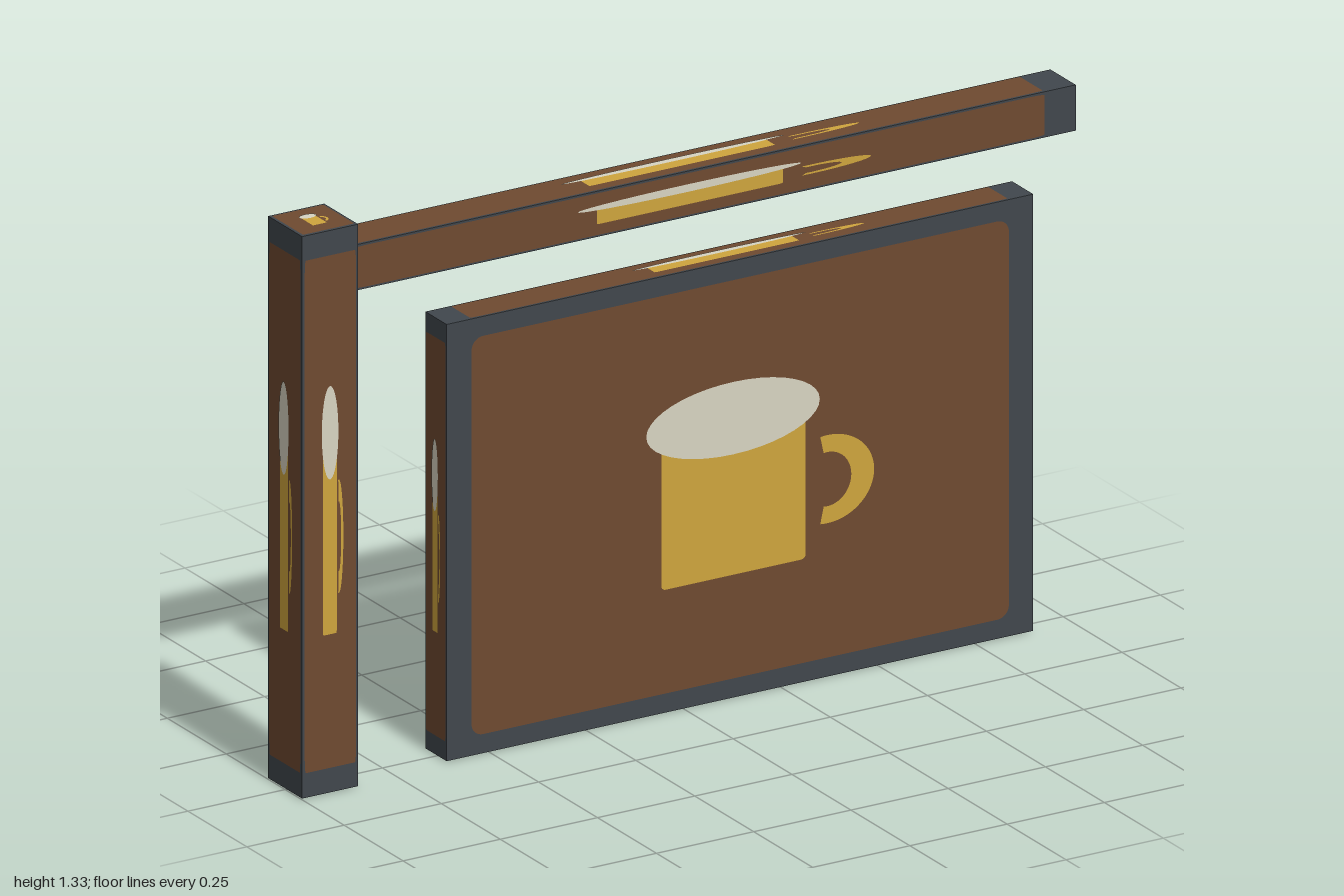
import * as THREE from 'three';

const mat = (name, color) => {
  const m = new THREE.MeshStandardMaterial({ color });
  m.name = name;
  return m;
};

// Rounded rectangle in face units (a face runs from -0.5 to 0.5 both ways)
function roundedRect(x0, y0, x1, y1, rx, ry) {
  const s = new THREE.Shape();
  s.absellipse(x1 - rx, y1 - ry, rx, ry, 0, Math.PI / 2);
  s.absellipse(x0 + rx, y1 - ry, rx, ry, Math.PI / 2, Math.PI);
  s.absellipse(x0 + rx, y0 + ry, rx, ry, Math.PI, Math.PI * 1.5);
  s.absellipse(x1 - rx, y0 + ry, rx, ry, Math.PI * 1.5, Math.PI * 2);
  s.closePath();
  return s;
}

function ellipse(x, y, rx, ry) {
  return new THREE.Shape().absellipse(x, y, rx, ry, 0, Math.PI * 2);
}

// C-shaped mug handle
function handleArc(x, y) {
  const a = 1.72;
  const s = new THREE.Shape();
  s.absellipse(x, y, 0.08, 0.101, -a, a, false);
  s.absellipse(x, y, 0.041, 0.062, a, -a, true);
  s.closePath();
  return s;
}

export function createModel() {
  const frame = mat('dark frame', 0x41474d);
  const wood = mat('brown wood', 0x6f4a30);
  const gold = mat('gold', 0xcfa53d);
  const foam = mat('foam', 0xd8d4c2);

  // Painted layers, repeated on every face and stretched to fit it
  const layers = [
    ['woodField', wood, roundedRect(-0.458, -0.456, 0.458, 0.456, 0.02, 0.028)],
    ['mugBody', gold, roundedRect(-0.135, -0.218, 0.111, 0.12, 0.008, 0.01)],
    ['mugHandle', gold, handleArc(0.148, -0.047)],
    ['mugFoam', foam, ellipse(-0.013, 0.141, 0.148, 0.083)],
  ].map(([name, material, shape], i) => ({
    name, material,
    geometry: new THREE.ShapeGeometry(shape, 20),
    lift: [0.001, 0.002, 0.002, 0.003][i],
  }));

  // Box with the mug sign on all six faces
  function signBox(name, [w, h, d], [x, y, z]) {
    const box = new THREE.Group();
    box.name = name;
    const core = new THREE.Mesh(new THREE.BoxGeometry(w, h, d), frame);
    core.name = name + 'Core';
    box.add(core);
    const q = Math.PI / 2;
    const faces = [
      ['Front', 0, 0, w, h, d], ['Back', 0, 2 * q, w, h, d],
      ['Left', 0, q, d, h, w], ['Right', 0, -q, d, h, w],
      ['Top', -q, 0, w, d, h], ['Bottom', q, 0, w, d, h],
    ];
    for (const [side, rx, ry, fw, fh, depth] of faces) {
      const face = new THREE.Group();
      face.name = name + side;
      face.rotation.set(rx, ry, 0);
      for (const layer of layers) {
        const plate = new THREE.Mesh(layer.geometry, layer.material);
        plate.name = layer.name;
        plate.scale.set(fw, fh, 1);
        plate.position.z = depth / 2 + layer.lift;
        face.add(plate);
      }
      box.add(face);
    }
    box.position.set(x, y, z);
    return box;
  }

  const model = new THREE.Group();
  model.name = 'hangingSign';
  model.add(
    signBox('post', [0.144, 1.328, 0.144], [-0.928, 0.664, 0]),
    signBox('beam', [1.94, 0.108, 0.108], [0.03, 1.218, 0]),
    signBox('signBoard', [1.508, 1.032, 0.09], [0.142, 0.516, 0]),
  );
  return model;
}
